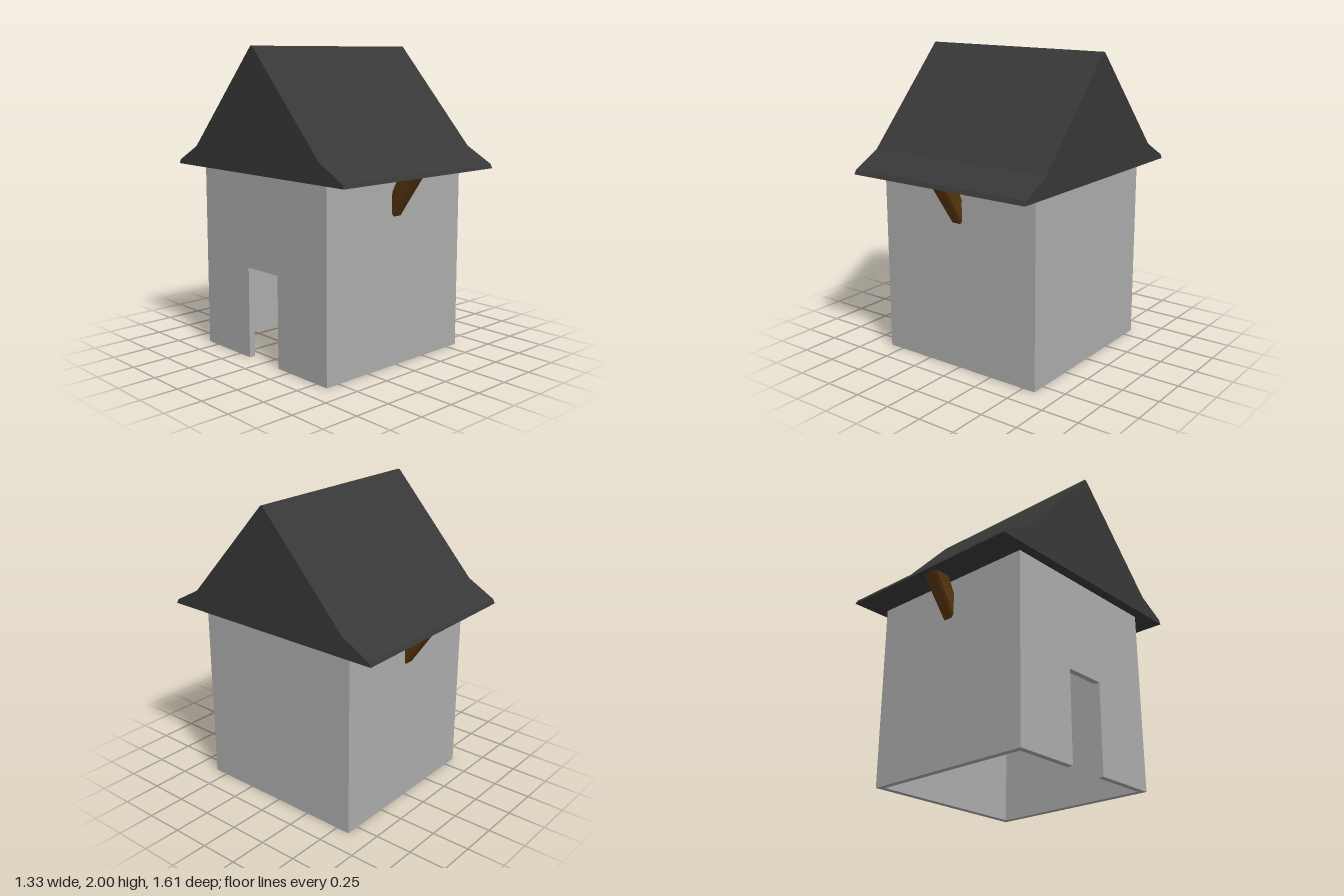
import * as THREE from 'three';

const mat = (name, color) => {
  const m = new THREE.MeshStandardMaterial({ color });
  m.name = name;
  return m;
};

// Extrude a (z, y) outline along x, ending at x = xMax
function extrudeAlongX(points, depth, xMax) {
  const shape = new THREE.Shape(points.map(([z, y]) => new THREE.Vector2(z, y)));
  const g = new THREE.ExtrudeGeometry(shape, { depth, bevelEnabled: false });
  return g.rotateY(-Math.PI / 2).translate(xMax, 0, 0);
}

// Tapered beam rising from the wall to the eave, with chamfered outer edges
function braceGeometry() {
  const section = [[-0.5, 1], [0.5, 1], [0.5, 0.12], [0.36, 0], [-0.36, 0], [-0.5, 0.12]];
  const low = section.map(([u, v]) => [u * 0.085, 0.935 + 0.15 * v, 0.575]);
  const high = section.map(([u, v]) => [u * 0.112, 1.225, 0.772 - 0.115 * v]);
  const pos = [];
  const n = section.length;
  for (let i = 0; i < n; i++) {
    const j = (i + 1) % n;
    pos.push(...low[i], ...high[j], ...low[j], ...low[i], ...high[i], ...high[j]);
  }
  const g = new THREE.BufferGeometry();
  g.setAttribute('position', new THREE.Float32BufferAttribute(pos, 3));
  g.computeVertexNormals();
  return g;
}

export function createModel() {
  const model = new THREE.Group();
  model.name = 'house';
  const plaster = mat('grey plaster', 0xacacac);
  const slate = mat('dark slate', 0x383838);
  const wood = mat('brown wood', 0x5a360e);
  wood.side = THREE.DoubleSide;

  const add = (parent, name, geometry, material) => {
    const m = new THREE.Mesh(geometry, material);
    m.name = name;
    parent.add(m);
    return m;
  };

  // Hollow walls, open at the bottom
  const walls = new THREE.Group();
  walls.name = 'walls';
  model.add(walls);
  const cx = -0.005, half = 0.593, t = 0.04, top = 1.225;
  for (const [name, s] of [['frontWall', 1], ['backWall', -1]]) {
    add(walls, name, new THREE.BoxGeometry(half * 2, top, t), plaster)
      .position.set(cx, top / 2, s * (half - t / 2));
  }
  const inner = half - t;
  add(walls, 'leftWall', new THREE.BoxGeometry(t, top, inner * 2), plaster)
    .position.set(cx + half - t / 2, top / 2, 0);

  // Wall with the doorway
  const dw = 0.145, dh = 0.6;
  add(walls, 'doorWall', extrudeAlongX([
    [-inner, 0], [-dw, 0], [-dw, dh], [dw, dh], [dw, 0], [inner, 0], [inner, top], [-inner, top],
  ], t, cx - half + t), plaster);

  // Solid gable roof with flared eaves
  const side = [[0.805, 1.22], [0.79, 1.248], [0.6, 1.352], [0.008, 2]];
  const mirrored = side.map(([z, y]) => [-z, y]).reverse();
  add(model, 'roof', extrudeAlongX([...side, ...mirrored], 1.33, 0.665), slate);

  // Eave braces, front and back
  for (const [name, angle] of [['frontBrace', 0], ['backBrace', Math.PI]]) {
    const brace = add(model, name, braceGeometry(), wood);
    brace.position.x = -0.006;
    brace.rotation.y = angle;
  }
  return model;
}
